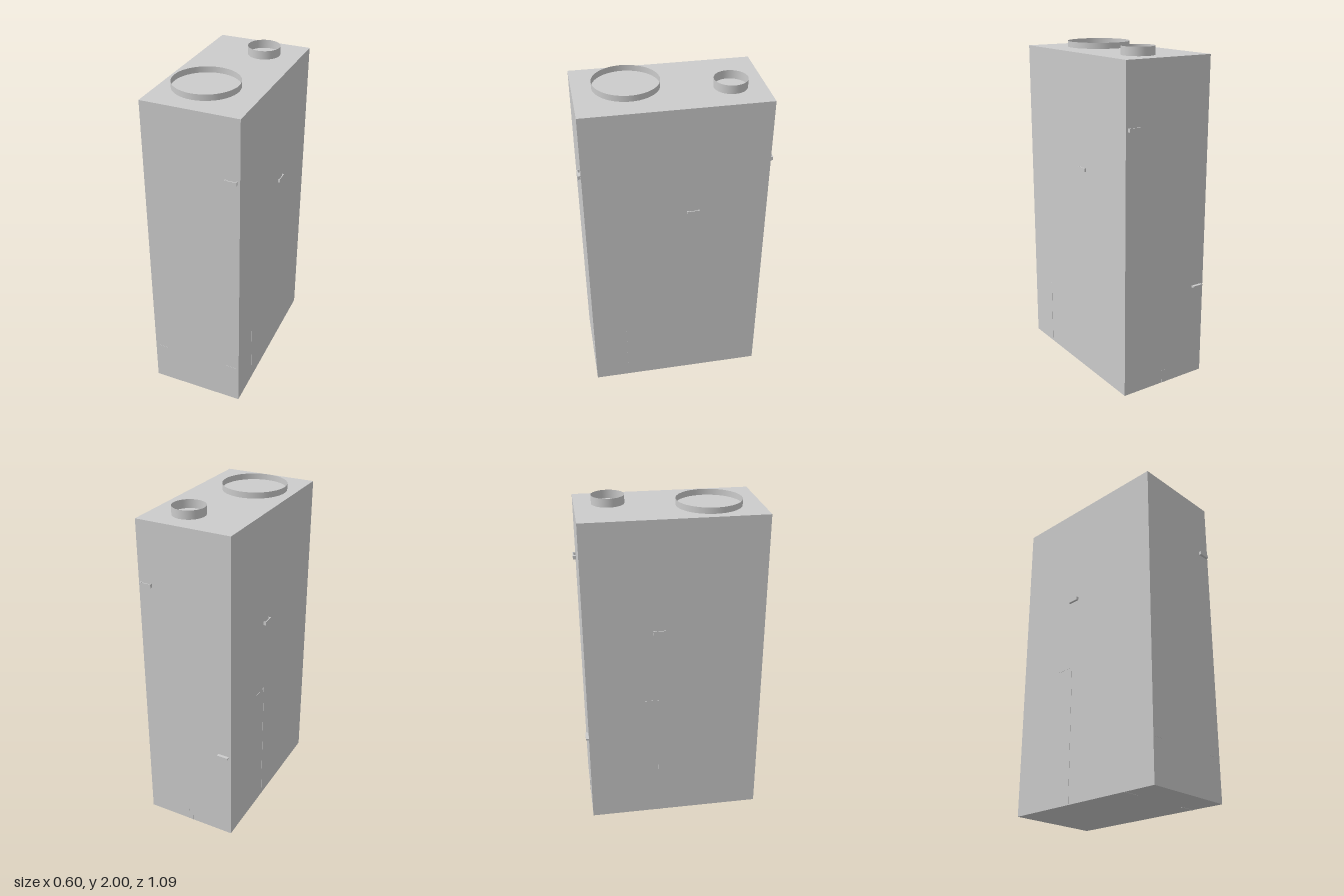
import * as THREE from 'three';

export function createModel() {
  const model = new THREE.Group();
  const grey = new THREE.MeshStandardMaterial({ color: 0xcccccc });
  const thin = new THREE.MeshStandardMaterial({ color: 0xcccccc, side: THREE.DoubleSide });
  const W = 0.57, H = 1.95, D = 1.06;

  const box = (parent, name, w, h, d, x, y, z) => {
    const mesh = new THREE.Mesh(new THREE.BoxGeometry(w, h, d), grey);
    mesh.name = name;
    mesh.position.set(x, y, z);
    parent.add(mesh);
    return mesh;
  };

  // Cabinet body
  box(model, 'cabinet', W, H, D, 0, H / 2, 0);

  // Open duct collars on the roof
  const collar = (name, r, top, x, z) => {
    const h = top - H;
    const mesh = new THREE.Mesh(new THREE.CylinderGeometry(r, r, h, 48, 1, true), thin);
    mesh.name = name;
    mesh.position.set(x, H + h / 2, z);
    model.add(mesh);
  };
  collar('largeCollar', 0.19, 1.985, -0.04, 0.23);
  collar('smallCollar', 0.095, 2, 0.07, -0.335);

  // Tray-shaped pull: floor, two ends and a front lip, facing local +z
  const pull = (name, x, y, z, turn, depth) => {
    const g = new THREE.Group();
    const w = 0.07, h = 0.022, t = 0.005;
    box(g, 'pullFloor', w, t, depth, 0, -h / 2 + t / 2, depth / 2);
    box(g, 'pullLip', w, h, t, 0, 0, depth - t / 2);
    for (const s of [-1, 1]) box(g, 'pullEnd', t, h, depth, s * (w - t) / 2, 0, depth / 2);
    g.name = name;
    g.position.set(x, y, z);
    g.rotation.y = turn;
    model.add(g);
  };
  pull('frontPull', 0.235, 1.583, D / 2, 0, 0.016);
  pull('backPull', 0.235, 1.583, -D / 2, Math.PI, 0.018);
  pull('leftPull', W / 2, 1.285, -0.093, Math.PI / 2, 0.012);
  pull('rightPull', -W / 2, 1.285, -0.093, -Math.PI / 2, 0.015);

  // Flat ledge low on the back
  box(model, 'backLedge', 0.07, 0.01, 0.018, -0.235, 0.58, -D / 2 - 0.009);

  // Thin seams on the sides, front, back and underside
  const t = 0.003;
  box(model, 'leftSeam', t, 0.42, 0.005, W / 2, 0.21, 0.32);
  box(model, 'rightSeam', t, 0.83, 0.005, -W / 2, 0.415, -0.1);
  box(model, 'rightTopSeam', t, 0.004, 0.11, -W / 2, 0.828, -0.155);
  for (const s of [-1, 1]) {
    box(model, 'frontSeam', 0.07, 0.004, t, s * 0.235, 0.26, D / 2);
    box(model, 'backSeam', 0.006, 0.08, t, s * 0.012, 0.04, -D / 2);
    box(model, 'bottomSeam', 0.1, t, 0.008, s * 0.233, 0, 0.325);
  }
  return model;
}
